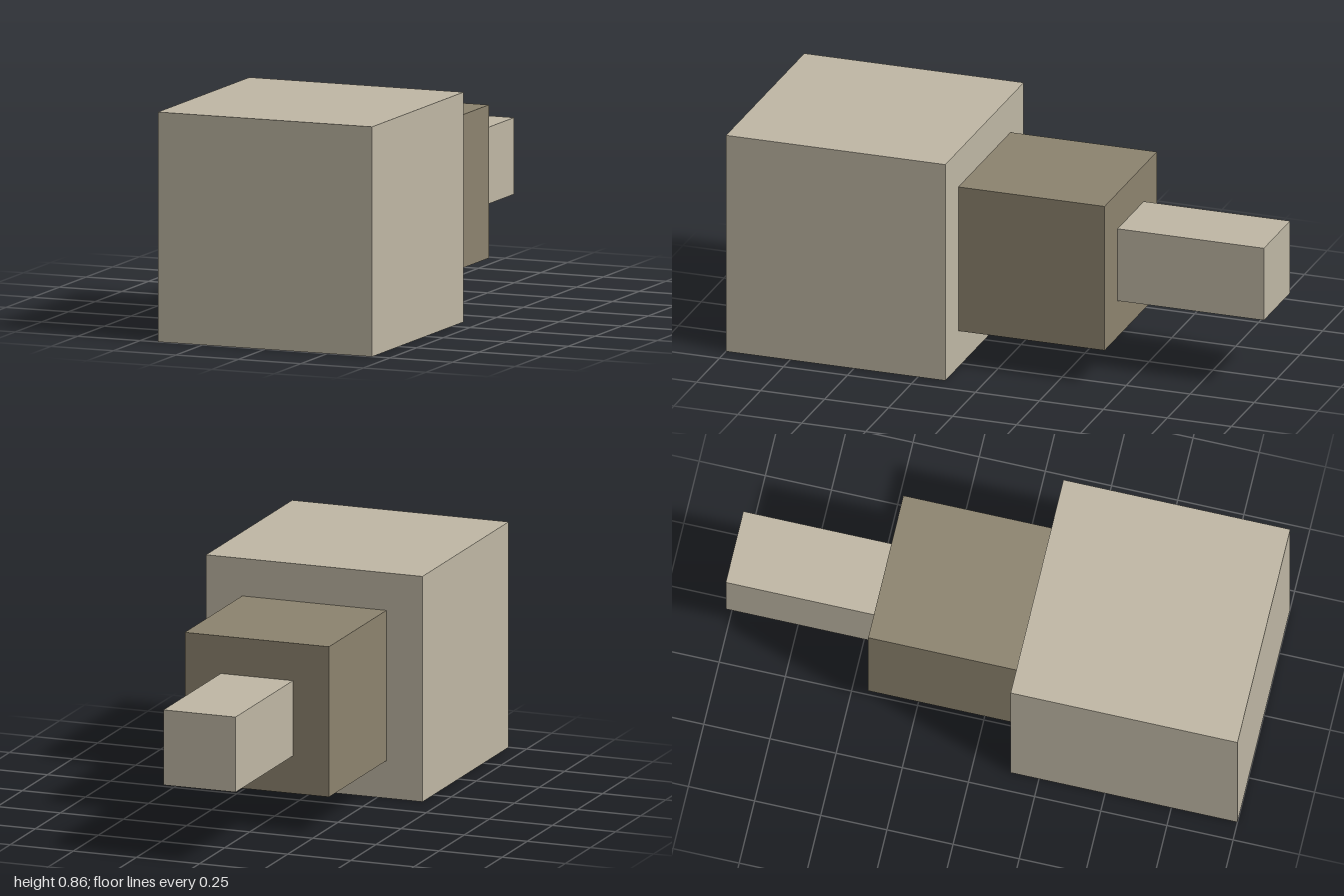
import * as THREE from 'three';

const U = 1 / 7; // base unit: the model is 14 units long

export function createModel() {
  const model = new THREE.Group();
  model.name = 'steppedBlocks';

  const paleStone = new THREE.MeshStandardMaterial({ color: 0xc0b8a5 });
  paleStone.name = 'paleStone';
  const darkStone = new THREE.MeshStandardMaterial({ color: 0x8d846f });
  darkStone.name = 'darkStone';

  // Square blocks stepping down from front to back: name, width, length, material
  const blocks = [
    ['frontBlock', 6, 6, paleStone],
    ['middleBlock', 4, 4, darkStone],
    ['rearBlock', 2, 4, paleStone],
  ];

  let front = 7;
  for (const [name, width, length, material] of blocks) {
    const geometry = new THREE.BoxGeometry(width * U, width * U, length * U);
    const block = new THREE.Mesh(geometry, material);
    block.name = name;
    block.position.set(0, 3 * U, (front - length / 2) * U);
    model.add(block);
    front -= length;
  }

  return model;
}
